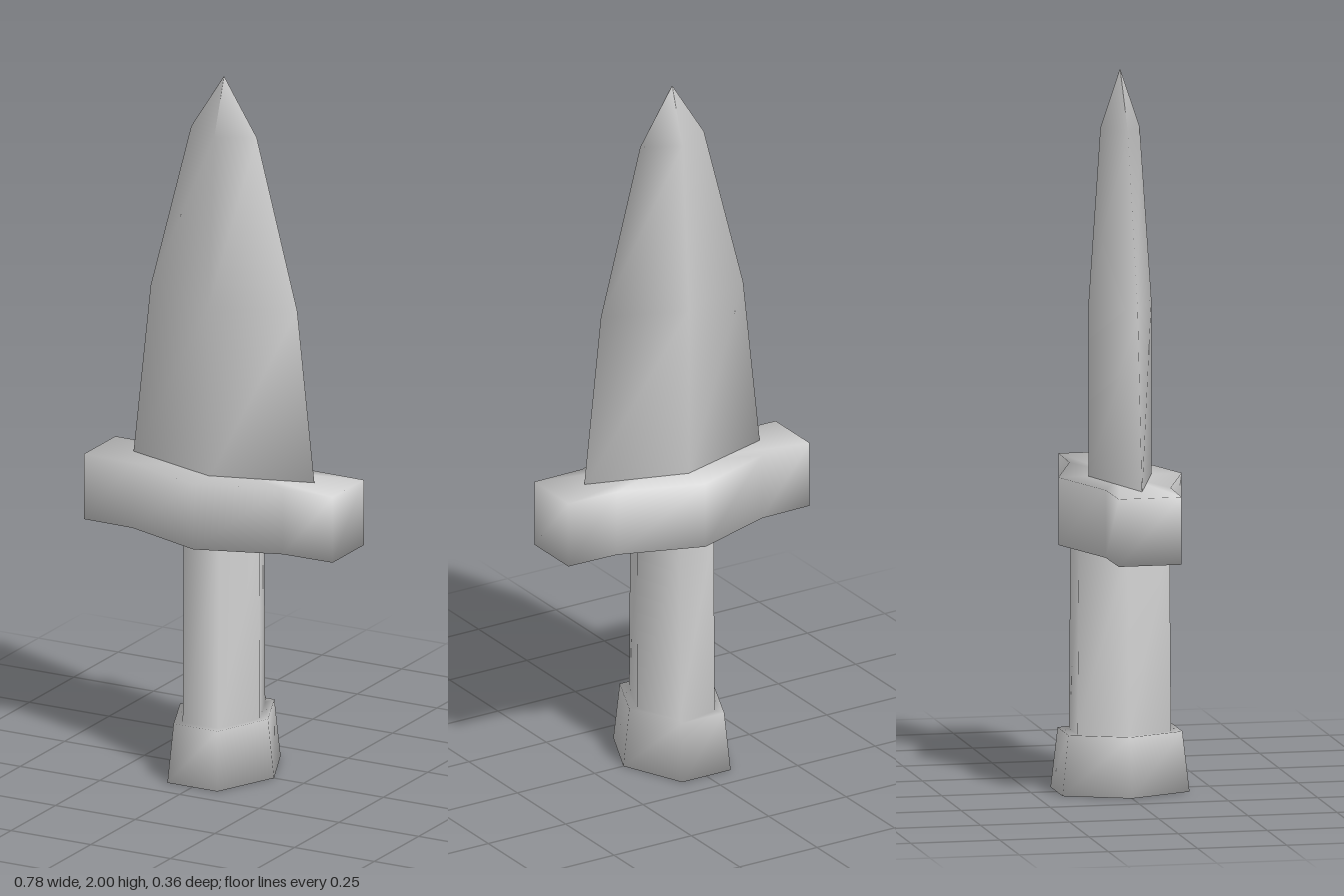
import * as THREE from 'three';

const material = new THREE.MeshStandardMaterial({ color: 0xcccccc });

// Smooth loft through horizontal rings of [x, z] points (counter-clockwise from above), capped at both ends
function loft(name, rings) {
  const n = rings[0].points.length, pos = [], index = [];
  for (const { y, points } of rings) for (const [x, z] of points) pos.push(x, y, z);
  for (let r = 0; r < rings.length - 1; r++) {
    for (let i = 0; i < n; i++) {
      const a = r * n + i, b = r * n + (i + 1) % n;
      index.push(a, b, b + n, a, b + n, a + n);
    }
  }
  const bottom = pos.length / 3, top = bottom + 1, last = (rings.length - 1) * n;
  pos.push(0, rings[0].y, 0, 0, rings[rings.length - 1].y, 0);
  for (let i = 0; i < n; i++) {
    const j = (i + 1) % n;
    index.push(bottom, j, i, top, last + i, last + j);
  }
  const geometry = new THREE.BufferGeometry();
  geometry.setAttribute('position', new THREE.Float32BufferAttribute(pos, 3));
  geometry.setIndex(index);
  geometry.computeVertexNormals();
  const mesh = new THREE.Mesh(geometry, material);
  mesh.name = name;
  return mesh;
}

const diamond = (x, z) => [[x, 0], [0, -z], [-x, 0], [0, z]];
const hexagon = (x, z) => [[x, 0], [x / 2, -z], [-x / 2, -z], [-x, 0], [-x / 2, z], [x / 2, z]];

export function createModel() {
  const group = new THREE.Group();
  group.name = 'dagger';

  // Flared pommel stepping in to the six-sided grip
  group.add(loft('pommelAndGrip', [
    { y: 0, points: hexagon(0.157, 0.178) },
    { y: 0.167, points: hexagon(0.138, 0.16) },
    { y: 0.165, points: hexagon(0.113, 0.131) },
    { y: 0.7, points: hexagon(0.111, 0.127) },
  ]));

  // Crossguard, pointed at the middle of front and back
  const half = [[0.39, 0.088], [0.39, -0.088], [0.235, -0.091], [0, -0.173], [-0.235, -0.091]];
  const outline = [...half, ...half.map(([x, z]) => [-x, -z])];
  group.add(loft('crossguard', [
    { y: 0.685, points: outline },
    { y: 0.873, points: outline },
  ]));

  // Diamond-section blade; the last ring closes to the tip
  group.add(loft('blade', [
    { y: 0.86, points: diamond(0.285, 0.088) },
    { y: 1.36, points: diamond(0.23, 0.088) },
    { y: 1.84, points: diamond(0.103, 0.055) },
    { y: 2, points: diamond(0.001, 0.001) },
  ]));

  return group;
}
